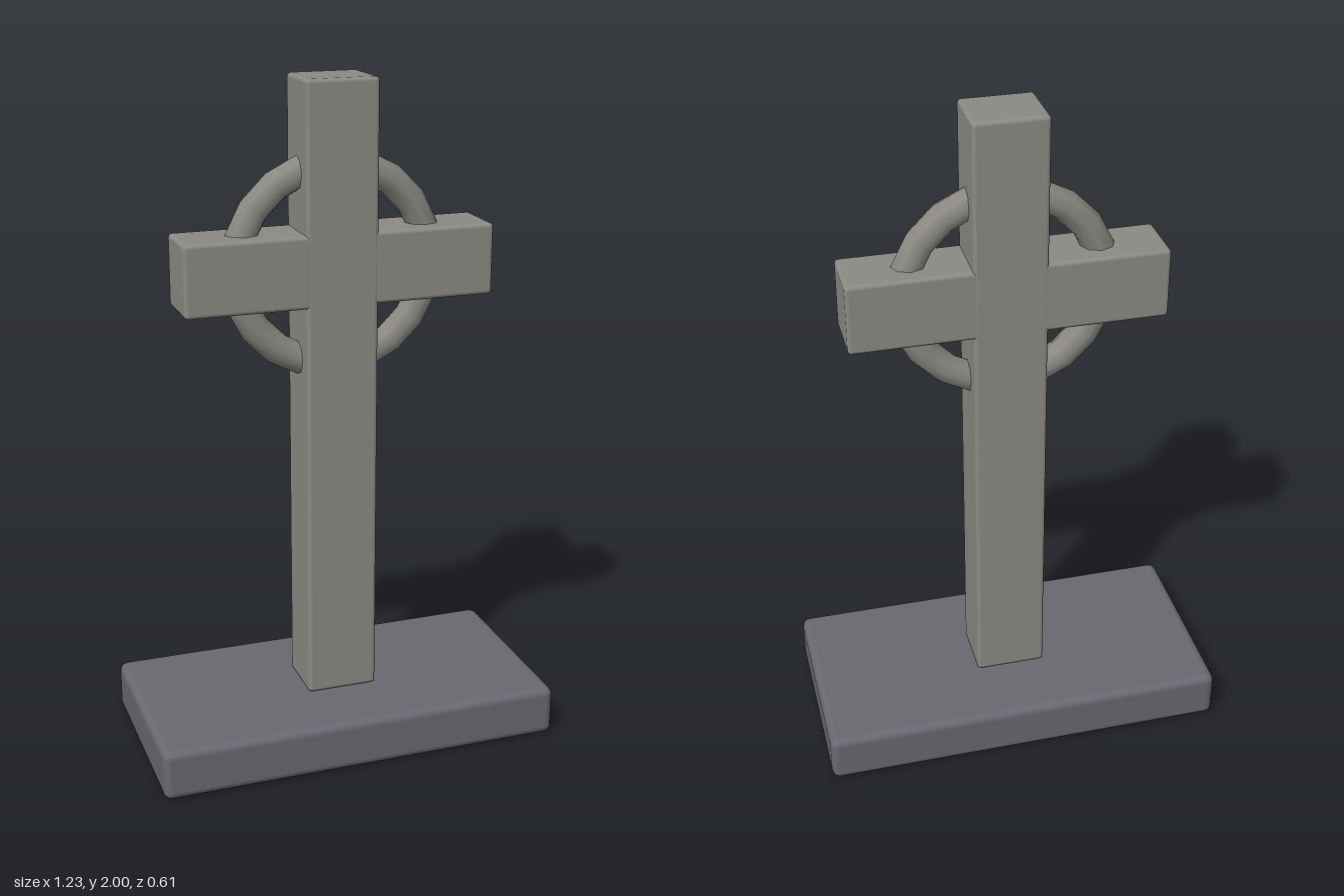
import * as THREE from 'three';
import { RoundedBoxGeometry } from 'three/addons/geometries/RoundedBoxGeometry.js';

export function createModel() {
  const group = new THREE.Group();
  const stone = new THREE.MeshStandardMaterial({ color: 0x8c8a83 });
  const darkStone = new THREE.MeshStandardMaterial({ color: 0x6a6870 });

  const add = (name, geometry, material, y) => {
    const mesh = new THREE.Mesh(geometry, material);
    mesh.name = name;
    mesh.position.y = y;
    group.add(mesh);
  };
  // Bevelled block spanning bottom to top
  const block = (name, width, bottom, top, depth, bevel, material) =>
    add(name, new RoundedBoxGeometry(width, top - bottom, depth, 2, bevel), material, (bottom + top) / 2);

  block('base', 1.226, 0, 0.154, 0.614, 0.025, darkStone);
  block('post', 0.214, 0.154, 2, 0.184, 0.012, stone);
  block('crossArm', 0.92, 1.36, 1.57, 0.182, 0.012, stone);

  // Ring around the crossing
  add('ring', new THREE.TorusGeometry(0.291, 0.045, 8, 20), stone, 1.465);

  return group;
}
